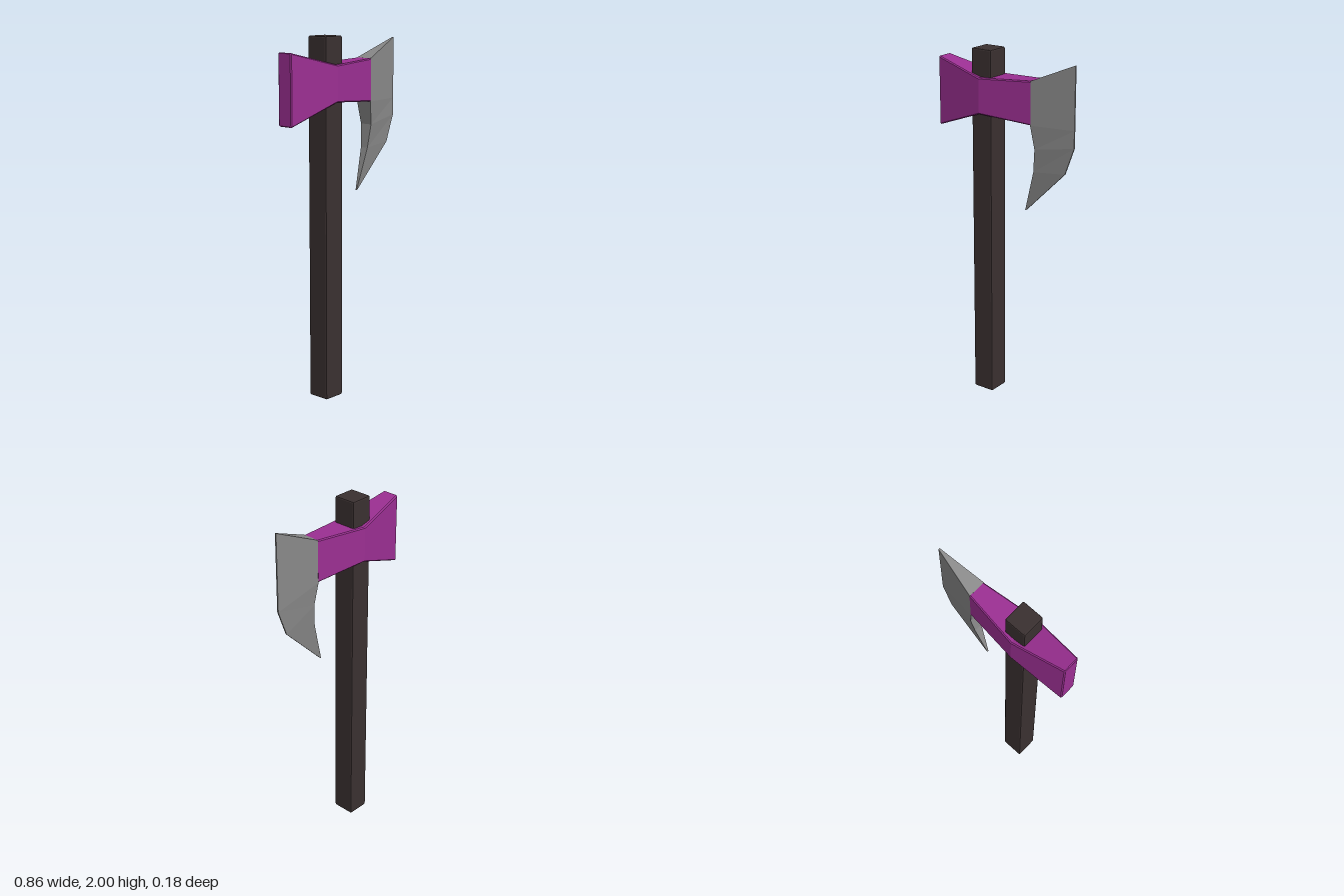
import * as THREE from 'three';
import { RoundedBoxGeometry } from 'three/addons/geometries/RoundedBoxGeometry.js';

// Skin a list of equal-sized closed rings and cap both ends.
// Each ring runs counter-clockwise seen from the end of the loft.
function loft(rings) {
  const n = rings[0].length;
  const index = [];
  for (let r = 0; r < rings.length - 1; r++) {
    for (let i = 0; i < n; i++) {
      const a = r * n + i, b = r * n + (i + 1) % n;
      index.push(a, b, b + n, a, b + n, a + n);
    }
  }
  const last = (rings.length - 1) * n;
  for (let i = 1; i < n - 1; i++) {
    index.push(0, i + 1, i);
    index.push(last, last + i, last + i + 1);
  }
  const geometry = new THREE.BufferGeometry();
  geometry.setAttribute('position', new THREE.Float32BufferAttribute(rings.flat(2), 3));
  geometry.setIndex(index);
  const faceted = geometry.toNonIndexed();
  faceted.computeVertexNormals();
  return faceted;
}

// Rectangle across x with chamfered corners
function headRing([x, y0, y1, h], c = 0.006) {
  return [
    [x, y0 + c, -h], [x, y1 - c, -h], [x, y1, -h + c], [x, y1, h - c],
    [x, y1 - c, h], [x, y0 + c, h], [x, y0, h - c], [x, y0, -h + c],
  ];
}

export function createModel() {
  const group = new THREE.Group();
  const add = (name, geometry, color) => {
    const material = new THREE.MeshStandardMaterial({ color, flatShading: true });
    const mesh = new THREE.Mesh(geometry, material);
    mesh.name = name;
    group.add(mesh);
    return mesh;
  };

  // Square shaft with slightly softened edges
  const handle = add('handle', new RoundedBoxGeometry(0.128, 2, 0.13, 1, 0.008), 0x3a3030);
  handle.position.set(-0.126, 1, 0);

  // Head: flared poll, thick waist around the shaft, narrower neck (x, bottom, top, half depth)
  const sections = [
    [-0.43, 1.546, 1.92, 0.042],
    [-0.425, 1.541, 1.924, 0.048],
    [-0.125, 1.652, 1.85, 0.09],
    [0.185, 1.63, 1.867, 0.05],
  ];
  add('axeHead', loft(sections.map((s) => headRing(s))), 0x9b2f92);

  // Bearded blade, tip to top (inner x, y, half depth, outer x, y)
  const edge = 0.004;
  const rows = [
    [0.122, 1.137, 0.004, 0.13, 1.14],
    [0.188, 1.37, 0.024, 0.375, 1.385],
    [0.203, 1.5, 0.037, 0.43, 1.535],
    [0.183, 1.63, 0.05, 0.43, 1.63],
    [0.183, 1.867, 0.05, 0.43, 1.972],
  ];
  add('blade', loft(rows.map(([x, y, t, ox, oy]) => [
    [x, y, -t], [x, y, t], [ox, oy, edge], [ox, oy, -edge],
  ])), 0x888888);

  return group;
}
